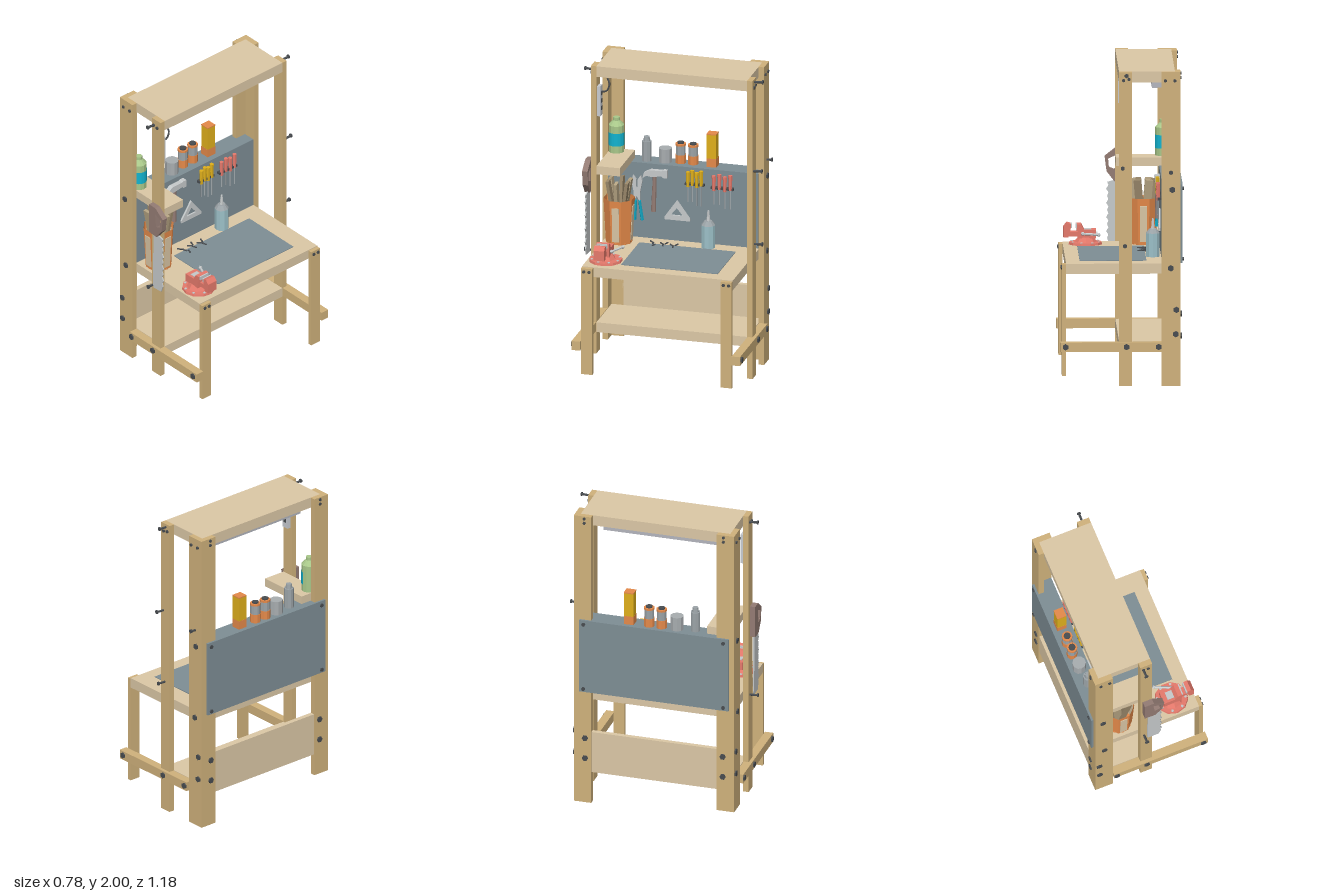
import * as THREE from 'three';

const WOOD = 0xd0b27c, PLY = 0xdcc8a6, SLATE = 0x7e8e95, DARK = 0x484c50, STEEL = 0xc6cacb,
  ORANGE = 0xe58a4a, RED = 0xe67a6c, BROWN = 0x947c74, YELLOW = 0xe0b01c, GREY = 0x9ca4a8;

export function createModel() {
  const root = new THREE.Group();
  const mats = {};
  const mat = (color) => (mats[color] ??= new THREE.MeshStandardMaterial({ color, flatShading: true, side: THREE.DoubleSide }));
  const add = (name, geo, color, pos = [0, 0, 0], rot = [0, 0, 0]) => {
    const m = new THREE.Mesh(geo, mat(color));
    m.name = name;
    m.position.set(...pos);
    m.rotation.set(...rot);
    root.add(m);
    return m;
  };
  // Box from its minimum and maximum on each axis
  const box = (name, color, x0, x1, y0, y1, z0, z1) =>
    add(name, new THREE.BoxGeometry(x1 - x0, y1 - y0, z1 - z0), color, [(x0 + x1) / 2, (y0 + y1) / 2, (z0 + z1) / 2]);
  // Upright round part from y0 to y1
  const round = (name, color, x, z, y0, y1, r0, r1 = r0, n = 10) =>
    add(name, new THREE.CylinderGeometry(r1, r0, y1 - y0, n), color, [x, (y0 + y1) / 2, z]);
  // Rod between two points
  const rod = (name, color, a, b, r0, r1 = r0, n = 6) => {
    const A = new THREE.Vector3(...a), B = new THREE.Vector3(...b), d = B.clone().sub(A);
    const m = add(name, new THREE.CylinderGeometry(r1, r0, d.length(), n), color, A.clone().add(B).multiplyScalar(0.5).toArray());
    m.quaternion.setFromUnitVectors(new THREE.Vector3(0, 1, 0), d.normalize());
    return m;
  };
  const shapeOf = (pts, hole) => {
    const s = new THREE.Shape(pts.map((p) => new THREE.Vector2(...p)));
    if (hole) s.holes.push(new THREE.Path(hole.map((p) => new THREE.Vector2(...p))));
    return s;
  };
  const plate = (pts, depth, hole) => new THREE.ExtrudeGeometry(shapeOf(pts, hole), { depth, bevelEnabled: false });
  // Flat tool on the board, outline given as [z, y]
  const hung = (name, color, pts, x, depth, hole) => {
    const flip = (l) => l && l.map(([z, y]) => [-z, y]);
    return add(name, plate(flip(pts), depth, flip(hole)), color, [x, 0, 0], [0, Math.PI / 2, 0]);
  };

  // Timber frame
  for (const s of [1, -1]) {
    const foot = s > 0 ? 0.07 : 0;
    const side = (name, x0, x1, y0, y1, a, b) => box(name, WOOD, x0, x1, y0, y1, Math.min(a * s, b * s), Math.max(a * s, b * s));
    side('rearPostSide', -0.372, -0.252, foot, 2, 0.494, 0.53);
    side('rearPostBack', -0.372, -0.337, foot, 2, 0.415, 0.494);
    side('middlePost', -0.065, 0.016, foot, 2, 0.494, 0.53);
    side('tableLeg', 0.35, 0.376, 0.06, 0.77, 0.42, 0.494);
    side('footRail', -0.252, 0.388, 0.22, 0.28, 0.497, 0.552);
  }
  box('topShelf', PLY, -0.337, 0.016, 1.93, 2, -0.494, 0.494);
  box('tableTop', PLY, -0.337, 0.35, 0.71, 0.775, -0.494, 0.494);
  box('lowerShelf', PLY, -0.337, 0.016, 0.215, 0.28, -0.494, 0.494);
  box('lowerBackPanel', PLY, -0.368, -0.337, 0.215, 0.495, -0.415, 0.43);
  box('smallShelf', PLY, -0.335, 0.016, 1.275, 1.33, 0.34, 0.494);
  box('toolBoard', SLATE, -0.386, -0.257, 0.778, 1.278, -0.49, 0.497);
  box('deskMat', SLATE, -0.16, 0.262, 0.774, 0.779, -0.37, 0.262);

  // Lamp, socket strip and cable
  box('lamp', 0xb4b6be, -0.275, -0.195, 1.877, 1.931, -0.365, 0.382);
  box('socketStrip', 0xc8ccd2, -0.05, 0, 1.66, 1.86, 0.472, 0.496);
  for (const y of [1.71, 1.76, 1.81]) box('socket', DARK, -0.036, -0.014, y - 0.013, y + 0.013, 0.469, 0.473);
  const cable = new THREE.CatmullRomCurve3([[-0.235, 1.9, 0.38], [-0.22, 1.918, 0.44], [-0.13, 1.925, 0.46],
    [-0.06, 1.92, 0.45], [-0.03, 1.87, 0.42], [-0.025, 1.825, 0.44], [-0.025, 1.82, 0.475]].map((p) => new THREE.Vector3(...p)));
  add('cable', new THREE.TubeGeometry(cable, 24, 0.006, 5), DARK);

  // Bolts and screws
  const bolt = (p, axis, r = 0.02, n = 6) =>
    add('bolt', new THREE.CylinderGeometry(r, r, 0.014, n), DARK, p, axis === 'z' ? [Math.PI / 2, 0, 0] : [0, 0, Math.PI / 2]);
  for (const s of [1, -1]) {
    for (const [x, y] of [[-0.32, 1.25], [-0.31, 0.75], [-0.345, 0.485], [-0.342, 0.33]]) bolt([x, y, 0.532 * s], 'z');
    for (const x of [-0.233, -0.03, 0.355]) bolt([x, 0.252, 0.554 * s], 'z');
    for (const x of [-0.335, -0.275, -0.045, -0.012]) bolt([x, 1.96 + (x % 0.02), 0.531 * s], 'z', 0.011);
    for (const z of [0.44, 0.475]) bolt([0.376, 0.748, z * s], 'x', 0.011);
    for (const y of [1.25, 0.8]) bolt([-0.387, y, 0.462 * s], 'x', 0.013);
    for (const y of [0.45, 0.31]) bolt([-0.374, y, 0.455 * s], 'x', 0.02);
    for (const y of [1.985, 1.955]) bolt([-0.373, y, 0.46 * s], 'x', 0.01);
  }
  // Hanging pegs
  for (const [x, y, s] of [[-0.03, 1.98, -1], [-0.005, 1.39, -1], [-0.02, 0.895, -1], [-0.31, 1.36, -1], [-0.045, 1.955, 1], [-0.04, 0.742, 1]]) {
    const end = x < -0.1 ? 0.57 : 0.588;
    rod('peg', DARK, [x, y, 0.52 * s], [x, y + 0.004, end * s], 0.008);
    rod('pegHead', DARK, [x, y + 0.004, (end - 0.008) * s], [x, y + 0.004, end * s], 0.014);
  }

  // Hand saw on the front post
  add('sawHandle', plate([[-0.05, 1.155], [-0.05, 1.365], [0.012, 1.365], [0.082, 1.31], [0.07, 1.215], [0.02, 1.15]], 0.036,
    [[0.008, 1.32], [0.06, 1.295], [0.055, 1.24], [0.018, 1.225]]), BROWN, [0, 0, 0.533]);
  const blade = [[-0.022, 1.17], [-0.028, 0.76], [-0.02, 0.738], [0.05, 0.742]];
  for (let i = 0; i < 9; i++) blade.push([0.058, 0.765 + i * 0.045], [i % 2 ? 0.072 : 0.066, 0.785 + i * 0.045]);
  add('sawBlade', plate(blade, 0.008), STEEL, [0, 0, 0.547]);

  // Bin with striped panels and rolled-up offcuts
  const bx = -0.158, bz = 0.393;
  add('bin', new THREE.CylinderGeometry(0.1, 0.085, 0.295, 8, 1, true), ORANGE, [bx, 0.923, bz], [0, Math.PI / 8, 0]);
  round('binFloor', ORANGE, bx, bz, 0.776, 0.785, 0.083, 0.083, 8);
  for (let i = 0; i < 8; i += 2) {
    const g = new THREE.Group();
    const p = new THREE.Mesh(new THREE.BoxGeometry(0.046, 0.23, 0.006), mat(PLY));
    p.name = 'binPanel';
    p.position.set(0, 0.91, 0.086);
    p.rotation.x = 0.047;
    g.name = 'binSide';
    g.add(p);
    g.position.set(bx, 0, bz);
    g.rotation.y = (i * Math.PI) / 4;
    root.add(g);
  }
  for (let i = 0; i < 6; i++) {
    const a = i * 1.05;
    add('offcut', new THREE.BoxGeometry(0.05, 0.3, 0.02), i % 2 ? 0x9c8a6c : 0xb8a684,
      [bx + 0.05 * Math.cos(a), 1.04, bz + 0.05 * Math.sin(a)], [0.16 * Math.sin(a), 0, -0.16 * Math.cos(a)]);
  }

  // Big bottle on the small shelf
  add('bigBottle', new THREE.LatheGeometry([[0, 1.33], [0.05, 1.33], [0.05, 1.51], [0.022, 1.54], [0.022, 1.56], [0, 1.56]]
    .map((p) => new THREE.Vector2(...p)), 12), 0xa9c88a, [-0.285, 0, 0.447]);
  add('bottleLabel', new THREE.CylinderGeometry(0.052, 0.052, 0.085, 8, 1, true, 0, Math.PI), 0x12b4d0, [-0.285, 1.42, 0.447]);

  // Tins and boxes on top of the tool board
  round('sprayCan', GREY, -0.31, 0.255, 1.278, 1.41, 0.031);
  round('sprayCap', GREY, -0.31, 0.255, 1.41, 1.44, 0.022, 0.018);
  round('tin', 0xa8adb0, -0.322, 0.137, 1.278, 1.37, 0.043);
  for (const z of [0.038, -0.044]) {
    round('paintCanBase', ORANGE, -0.33, z, 1.278, 1.335, 0.034);
    round('paintCan', GREY, -0.33, z, 1.335, 1.395, 0.032);
    round('paintCanBand', ORANGE, -0.33, z, 1.395, 1.408, 0.034);
    round('paintCanCap', DARK, -0.33, z, 1.408, 1.417, 0.022);
  }
  box('cartonBase', ORANGE, -0.357, -0.295, 1.278, 1.335, -0.204, -0.14);
  box('carton', YELLOW, -0.356, -0.296, 1.335, 1.493, -0.203, -0.141);
  box('cartonLid', ORANGE, -0.357, -0.295, 1.493, 1.5, -0.204, -0.14);

  // Screwdrivers in two racks
  const rack = (color, z0, step, count, top, len) => {
    for (let i = 0; i < count; i++) {
      const z = z0 - i * step, y = top + (i % 2) * 0.012;
      round('screwdriverHandle', color, -0.236, z, y - 0.1, y, 0.011, 0.014, 6);
      round('screwdriverShaft', GREY, -0.236, z, y - 0.1 - len - i * 0.012, y - 0.1, 0.005, 0.005, 5);
    }
    box('toolRack', DARK, -0.258, -0.232, top - 0.09, top - 0.075, z0 - step * (count - 1) - 0.02, z0 + 0.02);
  };
  rack(YELLOW, -0.035, 0.029, 4, 1.255, 0.1);
  rack(RED, -0.205, 0.036, 4, 1.245, 0.09);

  // Hammer
  rod('hammerHandle', BROWN, [-0.243, 0.965, 0.192], [-0.243, 1.2, 0.185], 0.017, 0.012, 8);
  hung('hammerHead', STEEL, [[0.262, 1.185], [0.25, 1.225], [0.21, 1.245], [0.135, 1.245], [0.125, 1.25], [0.1, 1.25],
    [0.1, 1.2], [0.125, 1.2], [0.135, 1.21], [0.17, 1.205], [0.2, 1.2], [0.235, 1.205]], -0.257, 0.032);

  // Pliers
  for (const s of [1, -1]) {
    rod('plierGrip', 0x12a4c0, [-0.24, 1.03, 0.295 + s * 0.012], [-0.24, 0.9, 0.29 + s * 0.025], 0.009, 0.011);
    hung('plierJaw', STEEL, [[0.3 + s * 0.02, 1.02], [0.3 - s * 0.015, 1.09], [0.3 + s * 0.005, 1.12], [0.3 + s * 0.005, 1.17],
      [0.3 + s * 0.025, 1.2], [0.3 + s * 0.035, 1.16], [0.3 + s * 0.02, 1.08]], -0.25, 0.014);
  }

  // Set square
  hung('setSquare', STEEL, [[0.122, 0.935], [0.04, 1.052], [-0.045, 0.935], [-0.045, 0.918], [0.122, 0.918]], -0.257, 0.012,
    [[0.08, 0.95], [0.04, 1.0], [0.0, 0.95]]);

  // Glue bottle
  const gx = -0.205, gz = -0.178;
  round('glueBottle', 0x9cc0c8, gx, gz, 0.775, 0.925, 0.045);
  round('glueShoulder', GREY, gx, gz, 0.925, 0.952, 0.045, 0.025);
  round('glueNozzle', STEEL, gx, gz, 0.952, 1.02, 0.013, 0.006, 6);

  // Loose nails
  for (let i = 0; i < 9; i++) {
    const z = 0.2 - i * 0.023, x = -0.2 + ((i * 7) % 5) * 0.014;
    rod('nail', DARK, [x, 0.781, z], [x + 0.03, 0.781, z - 0.03 + (i % 3) * 0.02], 0.005);
  }

  // Bench vise
  const vz = 0.385;
  round('viseBase', RED, 0.208, 0.378, 0.775, 0.79, 0.107, 0.104, 11);
  for (let i = 0; i < 8; i++) {
    const a = (i * Math.PI) / 4 + 0.3;
    round('viseBolt', STEEL, 0.208 + 0.09 * Math.cos(a), 0.378 + 0.09 * Math.sin(a), 0.788, 0.794, 0.009, 0.009, 6);
  }
  round('visePedestal', RED, 0.205, vz, 0.79, 0.82, 0.07, 0.05, 8);
  box('viseBody', RED, 0.14, 0.255, 0.815, 0.868, vz - 0.042, vz + 0.042);
  box('viseAnvil', STEEL, 0.17, 0.215, 0.868, 0.872, vz - 0.026, vz + 0.026);
  box('viseSlide', RED, 0.25, 0.335, 0.825, 0.855, vz - 0.025, vz + 0.025);
  add('fixedJaw', plate([[0.215, 0.868], [0.235, 0.905], [0.262, 0.905], [0.262, 0.86]], 0.084), RED, [0, 0, vz - 0.042]);
  add('movingJaw', plate([[0.3, 0.905], [0.3, 0.88], [0.315, 0.82], [0.347, 0.82], [0.347, 0.885], [0.325, 0.912]], 0.07), RED, [0, 0, vz - 0.035]);
  for (const x of [0.262, 0.292]) box('jawFace', STEEL, x, x + 0.008, 0.88, 0.905, vz - 0.035, vz + 0.035);
  rod('viseScrew', STEEL, [0.13, 0.84, vz], [0.3, 0.84, vz], 0.012, 0.012, 8);
  rod('viseHandle', STEEL, [0.125, 0.845, 0.29], [0.225, 0.845, 0.335], 0.008);
  for (const p of [[0.125, 0.845, 0.29], [0.225, 0.845, 0.335]]) add('handleKnob', new THREE.IcosahedronGeometry(0.013), STEEL, p);

  return root;
}
